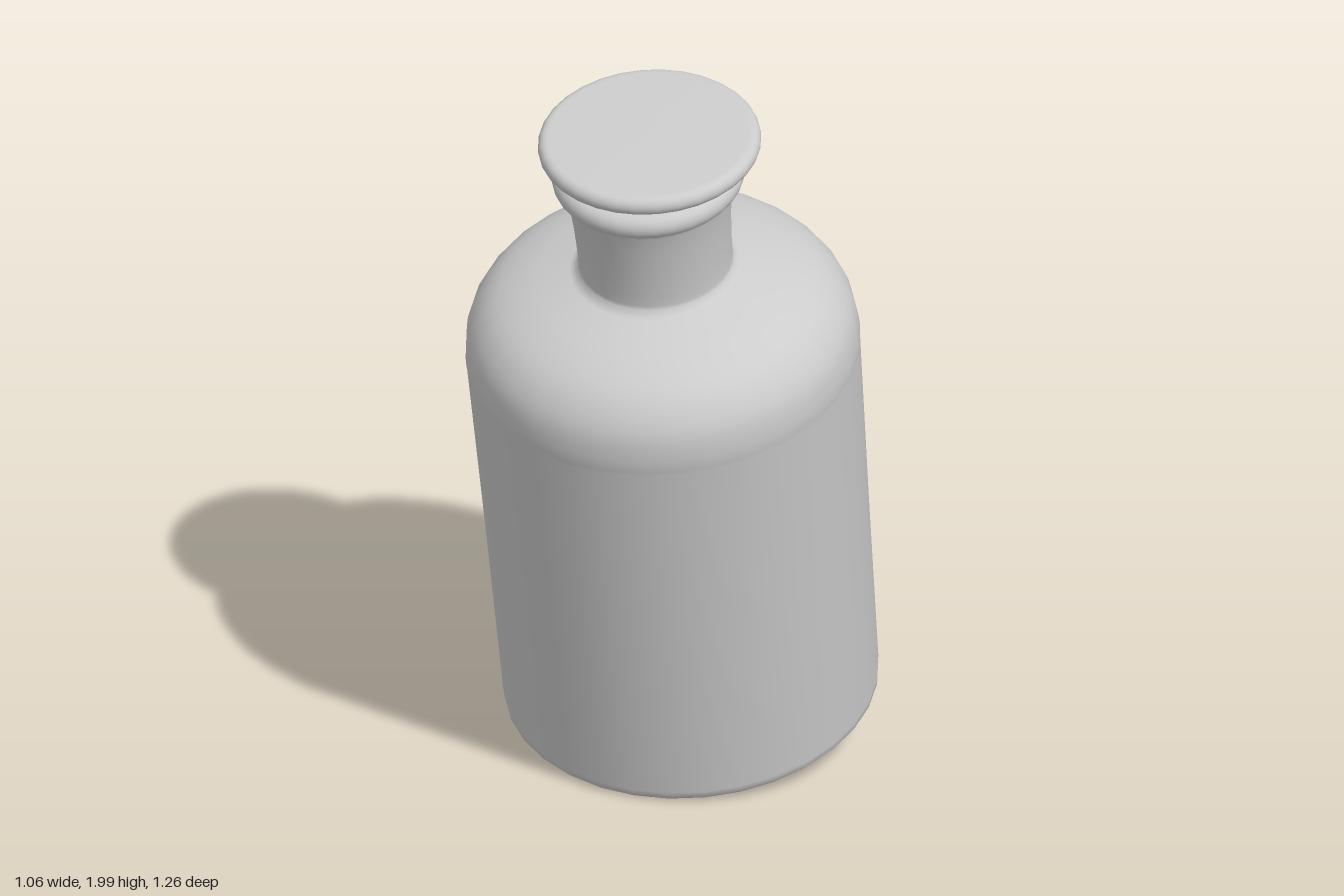
import * as THREE from 'three';

const SEGMENTS = 32;
const material = new THREE.MeshStandardMaterial({ color: 0xcccccc, side: THREE.DoubleSide });
const v = (x, y) => new THREE.Vector2(x, y);

// Smooth run of profile points through a few guides
const smooth = (points, n) => new THREE.SplineCurve(points.map(p => v(...p))).getPoints(n);

// Half-round bead between two angles (degrees)
function bead(cx, cy, rx, ry, from, to, n) {
  return Array.from({ length: n + 1 }, (_, i) => {
    const a = THREE.MathUtils.degToRad(from + (to - from) * i / n);
    return v(cx + rx * Math.cos(a), cy + ry * Math.sin(a));
  });
}

// Turned part, leaning forward about the x axis
function turned(name, profile, tilt, y, z) {
  const mesh = new THREE.Mesh(new THREE.LatheGeometry(profile, SEGMENTS), material);
  mesh.name = name;
  mesh.rotation.x = THREE.MathUtils.degToRad(tilt);
  mesh.position.set(0, y, z);
  return mesh;
}

export function createModel() {
  const group = new THREE.Group();
  group.name = 'stopperedBottle';

  // Bottle: flat base, slightly flared body, round shoulder, neck and lip
  const bottle = [
    v(0, 0), v(0.485, 0), v(0.492, 0.001), v(0.502, 0.012), v(0.504, 0.03), v(0.515, 0.6),
    ...smooth([[0.528, 1.15], [0.529, 1.2], [0.512, 1.28], [0.455, 1.355],
      [0.365, 1.405], [0.27, 1.437], [0.222, 1.451]], 18),
    ...smooth([[0.209, 1.465], [0.207, 1.5], [0.212, 1.61], [0.224, 1.72], [0.234, 1.74]], 8),
    ...bead(0.226, 1.774, 0.034, 0.036, -65, 90, 8),
    v(0.2, 1.81), v(0.185, 1.8), v(0.18, 1.75), v(0.17, 1.5),
  ];
  group.add(turned('bottle', bottle, 11.8, 0.104, -0.1375));

  // Stopper: tapered plug under a round-edged disc, leaning a little less
  const stopper = [
    v(0, -0.3), v(0.145, -0.3), v(0.15, -0.29), v(0.2, -0.04), v(0.208, -0.03), v(0.22, -0.027),
    ...bead(0.276, 0, 0.024, 0.026, -90, 90, 10),
    v(0.265, 0.027), v(0, 0.028),
  ];
  group.add(turned('stopper', stopper, 9.9, 1.925, 0.215));

  return group;
}
